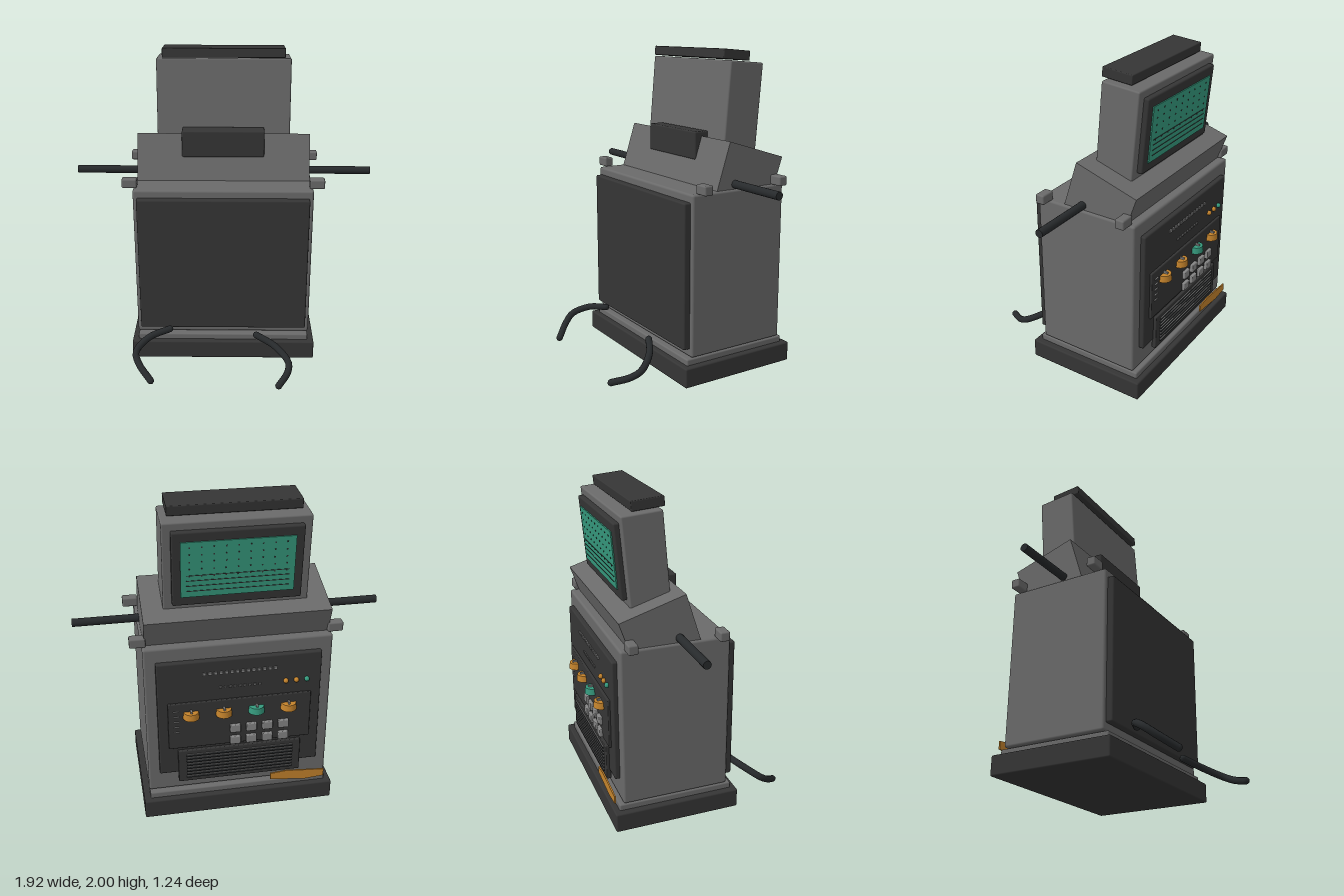
import * as THREE from 'three';
import { RoundedBoxGeometry } from 'three/addons/geometries/RoundedBoxGeometry.js';

export function createModel() {
  const model = new THREE.Group();
  model.name = 'controlConsole';

  const material = (name, color) => {
    const m = new THREE.MeshStandardMaterial({ color });
    m.name = name;
    return m;
  };
  const grey = material('casing grey', 0x6a6a6a);
  const dark = material('charcoal', 0x353535);
  const black = material('rubber black', 0x272a2c);
  const light = material('key grey', 0x858585);
  const teal = material('screen teal', 0x369a7e);
  const orange = material('amber', 0xc4832c);

  const add = (name, geometry, mat, x = 0, y = 0, z = 0, parent = model) => {
    const mesh = new THREE.Mesh(geometry, mat);
    mesh.name = name;
    mesh.position.set(x, y, z);
    parent.add(mesh);
    return mesh;
  };
  const box = (name, mat, w, h, d, x, y, z, parent) =>
    add(name, new THREE.BoxGeometry(w, h, d), mat, x, y, z, parent);
  const rounded = (name, mat, w, h, d, x, y, z, parent, r = 0.01) =>
    add(name, new RoundedBoxGeometry(w, h, d, 2, r), mat, x, y, z, parent);

  // Base and cabinet
  rounded('base', dark, 1.21, 0.125, 0.805, 0, 0.0635, -0.178);
  rounded('plinth', grey, 1.13, 0.06, 0.735, 0, 0.135, -0.178);
  rounded('cabinet', grey, 1.14, 1.01, 0.68, 0, 0.675, -0.18, model, 0.015);
  rounded('frontPanel', dark, 1.09, 0.91, 0.06, 0, 0.675, 0.172);

  // Sloped collar between cabinet and display
  const profile = new THREE.Shape([
    [0.02, 1.17], [0.46, 1.17], [0.52, 1.345], [0.115, 1.47],
  ].map(([z, y]) => new THREE.Vector2(z, y)));
  const collar = new THREE.ExtrudeGeometry(profile, { depth: 1.11, bevelEnabled: false });
  collar.translate(0, 0, -0.555).rotateY(Math.PI / 2);
  add('collar', collar, grey);
  rounded('frontGripBlock', dark, 0.53, 0.175, 0.1, -0.003, 1.412, -0.115);

  // Side bars and corner blocks
  for (const s of [-1, 1]) {
    const bar = add('sideBar', new THREE.CylinderGeometry(0.025, 0.025, 0.46, 16), black, s * 0.73, 1.21, -0.155);
    bar.rotation.z = Math.PI / 2;
    for (const z of [0.095, -0.462]) rounded('cornerBlock', grey, 0.095, 0.06, 0.06, s * 0.593, 1.21, z);
  }

  // Tilted display
  const display = new THREE.Group();
  display.name = 'display';
  display.position.set(0, 1.652, -0.307);
  display.rotation.x = -0.085;
  model.add(display);
  rounded('displayHousing', grey, 0.86, 0.55, 0.25, 0, 0, 0, display);
  rounded('displayCap', dark, 0.78, 0.06, 0.2, 0, 0.311, 0.052, display, 0.006);
  rounded('displayBezel', dark, 0.76, 0.46, 0.04, 0, 0, -0.139, display);
  box('screen', teal, 0.66, 0.345, 0.008, 0, 0, -0.162, display);
  for (let r = 0; r < 5; r++) {
    for (let c = 0; c < 9; c++) {
      box('screenDot', dark, 0.008, 0.008, 0.003, (c - 4) * 0.07, 0.14 - r * 0.045, -0.167, display);
    }
  }
  for (let r = 0; r < 4; r++) box('screenLine', dark, 0.6, 0.004, 0.003, 0, -0.035 - r * 0.033, -0.167, display);

  // Rear panels
  rounded('rearPanel', dark, 1.0, 0.78, 0.05, 0, 0.7, -0.526);
  rounded('controlPanel', dark, 0.88, 0.32, 0.02, 0, 0.66, -0.555, model, 0.006);
  rounded('grillePanel', dark, 0.77, 0.23, 0.03, 0, 0.365, -0.555, model, 0.006);
  for (let i = 0; i < 8; i++) {
    box('grilleSlat', black, 0.67, 0.01, 0.008, 0, 0.285 + i * 0.023, -0.574);
    box('grilleSlatEdge', grey, 0.67, 0.003, 0.008, 0, 0.2915 + i * 0.023, -0.574);
  }

  // Knobs lying with their axis upright
  [0.3, 0.1, -0.1, -0.3].forEach((x, i) => {
    const mat = i === 2 ? teal : orange;
    add('knob', new THREE.CylinderGeometry(0.045, 0.05, 0.042, 24), mat, x, 0.74, -0.565);
    box('knobPointer', light, 0.012, 0.012, 0.035, x, 0.767, -0.575);
  });

  // Keys, indicator lamps and plain marking strips
  for (let r = 0; r < 2; r++) {
    for (let c = 0; c < 4; c++) rounded('key', light, 0.065, 0.055, 0.025, 0.03 - c * 0.1, 0.615 - r * 0.085, -0.572, model, 0.006);
  }
  [orange, orange, teal].forEach((mat, i) =>
    add('indicatorLamp', new THREE.SphereGeometry(0.016, 12, 8), mat, -0.28 - i * 0.065, 0.91, -0.558));
  for (let i = 0; i < 14; i++) box('upperMarking', light, 0.02, 0.018, 0.008, 0.215 - i * 0.033, 1.005, -0.555);
  for (let i = 0; i < 9; i++) box('lowerMarking', grey, 0.018, 0.012, 0.008, 0.12 - i * 0.03, 0.905, -0.555);
  for (let i = 0; i < 5; i++) box('scaleTick', light, 0.035, 0.006, 0.008, 0.39, 0.62 + i * 0.037, -0.568);

  // Amber tag below the grille
  const tagShape = new THREE.Shape([
    [-0.55, 0.175], [-0.43, 0.165], [-0.2, 0.19], [-0.2, 0.235], [-0.3, 0.245], [-0.55, 0.225],
  ].map(([x, y]) => new THREE.Vector2(x, y)));
  add('tag', new THREE.ExtrudeGeometry(tagShape, { depth: 0.009, bevelEnabled: false }), orange, 0, 0, -0.574);

  // Loose cables at the front
  const cables = [
    [[-0.35, 0.235, 0.245], [-0.48, 0.21, 0.31], [-0.56, 0.155, 0.4], [-0.54, 0.11, 0.46], [-0.455, 0.04, 0.555]],
    [[0.22, 0.195, 0.25], [0.34, 0.155, 0.32], [0.425, 0.1, 0.43], [0.415, 0.07, 0.5], [0.355, 0.04, 0.6]],
  ];
  for (const points of cables) {
    const curve = new THREE.CatmullRomCurve3(points.map((p) => new THREE.Vector3(...p)));
    add('cable', new THREE.TubeGeometry(curve, 20, 0.022, 10), black);
    for (const t of [0, 1]) add('cableEnd', new THREE.SphereGeometry(0.022, 10, 8), black, ...curve.getPoint(t).toArray());
  }
  return model;
}
